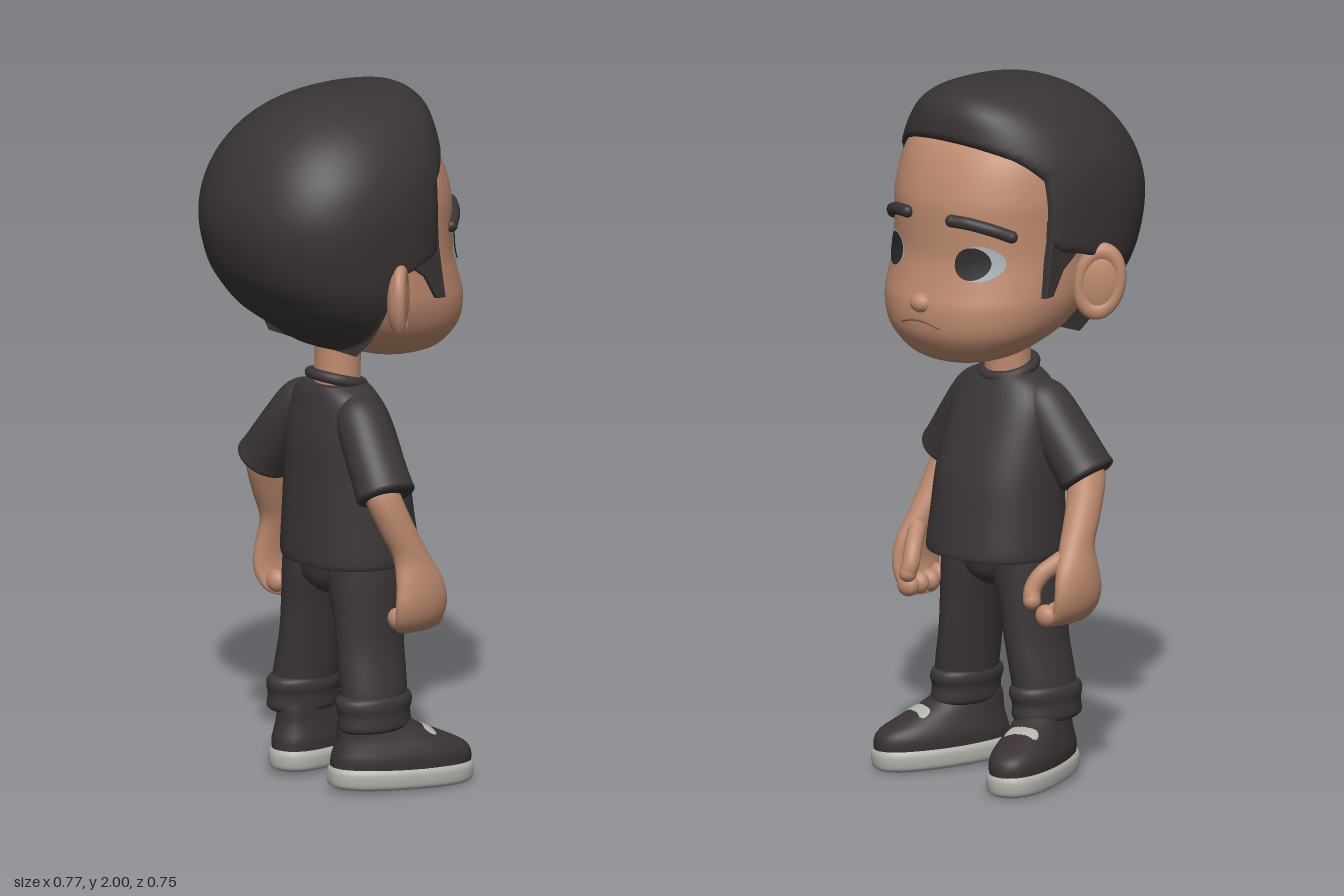
import * as THREE from 'three';

const mat = (name, color, side = THREE.FrontSide) => {
  const m = new THREE.MeshStandardMaterial({ color, side });
  m.name = name;
  return m;
};

// Smoothly subdivide rows of numbers (Catmull-Rom on every column)
function refine(rows, steps = 4) {
  const out = [];
  const at = i => rows[Math.max(0, Math.min(rows.length - 1, i))];
  for (let i = 0; i < rows.length - 1; i++) {
    for (let k = 0; k < steps; k++) {
      const t = k / steps;
      out.push(rows[i].map((p1, c) => {
        const p0 = at(i - 1)[c], p2 = at(i + 1)[c], p3 = at(i + 2)[c];
        return 0.5 * (2 * p1 + (p2 - p0) * t + (2 * p0 - 5 * p1 + 4 * p2 - p3) * t * t
          + (3 * p1 - p0 - 3 * p2 + p3) * t * t * t);
      }));
    }
  }
  out.push(rows[rows.length - 1]);
  return out;
}

// Closed body from horizontal superellipse sections [y, cx, cz, rx, rz], bottom to top
function loft(rows, { n = 2, seg = 40, steps = 4, clip } = {}) {
  const dense = refine(rows, steps), pos = [], idx = [];
  const ring = ([y, cx, cz, rx, rz]) => {
    for (let j = 0; j < seg; j++) {
      const a = j / seg * Math.PI * 2, c = Math.cos(a), s = Math.sin(a);
      const x = cx + rx * Math.sign(c) * Math.abs(c) ** (2 / n);
      const z = cz + rz * Math.sign(s) * Math.abs(s) ** (2 / n);
      pos.push(x, y, clip ? Math.min(z, clip(y)) : z);
    }
  };
  dense.forEach(ring);
  for (let i = 0; i < dense.length - 1; i++) {
    for (let j = 0; j < seg; j++) {
      const k = (j + 1) % seg, a = i * seg, b = a + seg;
      idx.push(a + j, b + j, a + k, a + k, b + j, b + k);
    }
  }
  // caps with their own ring, so the rim stays sharp
  [dense[0], dense[dense.length - 1]].forEach((r, top) => {
    const base = pos.length / 3;
    ring(r);
    pos.push(r[1], r[0], clip ? Math.min(r[2], clip(r[0])) : r[2]);
    for (let j = 0; j < seg; j++) {
      const k = (j + 1) % seg;
      idx.push(base + seg, base + (top ? k : j), base + (top ? j : k));
    }
  });
  const g = new THREE.BufferGeometry();
  g.setAttribute('position', new THREE.Float32BufferAttribute(pos, 3));
  g.setIndex(idx);
  g.computeVertexNormals();
  return g;
}

// Rows given as [y, back z, front z, half width]
const profile = rows => rows.map(([y, b, f, w]) => [y, 0, (b + f) / 2, w, (f - b) / 2]);

const lerpTable = (table, y) => {
  if (y <= table[0][0]) return table[0];
  for (let i = 1; i < table.length; i++) {
    const a = table[i - 1], b = table[i];
    if (y <= b[0]) return a.map((v, c) => v + (b[c] - v) * (y - a[0]) / (b[0] - a[0]));
  }
  return table[table.length - 1];
};

const HEAD_N = 2.2;
const headRows = profile([
  [1.217, 0.14, 0.23, 0.05], [1.226, 0.08, 0.28, 0.11], [1.25, 0.02, 0.318, 0.17],
  [1.30, -0.08, 0.354, 0.23], [1.345, -0.14, 0.366, 0.26], [1.40, -0.19, 0.365, 0.277],
  [1.45, -0.22, 0.35, 0.281], [1.53, -0.25, 0.33, 0.28], [1.62, -0.26, 0.328, 0.28],
  [1.70, -0.25, 0.322, 0.28], [1.80, -0.22, 0.287, 0.262], [1.86, -0.18, 0.24, 0.22],
  [1.92, -0.1, 0.14, 0.12]]);
const headDense = refine(headRows, 6);
const faceZ = (x, y) => {
  const [, , cz, rx, rz] = lerpTable(headDense, y);
  return cz + rz * Math.max(0, 1 - (Math.abs(x) / rx) ** HEAD_N) ** (1 / HEAD_N);
};

// Thin oval that follows the face surface
function facePatch(cx, cy, rx, ry, off) {
  const g = new THREE.RingGeometry(0.001, 1, 32, 5), p = g.attributes.position;
  for (let i = 0; i < p.count; i++) {
    const x = cx + p.getX(i) * rx, y = cy + p.getY(i) * ry;
    p.setXYZ(i, x, y, faceZ(x, y) + off);
  }
  g.computeVertexNormals();
  return g;
}

export function createModel() {
  const skin = mat('skin', 0xbd8a6f), lip = mat('lip line', 0x8f6450);
  const hair = mat('hair', 0x3a3434), cloth = mat('dark cloth', 0x3b3536);
  const shoe = mat('shoe upper', 0x3a3232), rubber = mat('sole', 0xb2b2ac);
  const white = mat('eye white', 0xa9b3b6, THREE.DoubleSide);
  const iris = mat('iris', 0x2c2a2b, THREE.DoubleSide);

  const body = new THREE.Group();
  const add = (name, geo, m, parent = body) => {
    const mesh = new THREE.Mesh(geo, m);
    mesh.name = name;
    parent.add(mesh);
    return mesh;
  };
  const ball = (name, m, p, s, parent) => {
    const b = add(name, new THREE.SphereGeometry(1, 28, 20), m, parent);
    b.position.set(...p);
    b.scale.set(...s);
    return b;
  };
  const tube = (name, pts, r, m) => {
    const v = pts.map(p => new THREE.Vector3(...p));
    add(name, new THREE.TubeGeometry(new THREE.CatmullRomCurve3(v), 20, r, 12), m);
    for (const e of [pts[0], pts[pts.length - 1]]) ball(name + 'End', m, e, [r, r, r]);
  };

  // Head, nose, mouth, neck
  add('head', loft(headRows, { n: HEAD_N, seg: 64, steps: 5 }), skin);
  ball('nose', skin, [0, 1.405, 0.358], [0.034, 0.028, 0.028]);
  tube('mouth', [-0.07, -0.035, 0, 0.035, 0.07].map(x => {
    const y = 1.356 - 3 * x * x;
    return [x, y, faceZ(x, y) - 0.001];
  }), 0.004, lip);
  add('neck', loft([[1.1, 0, 0, 0.07, 0.068], [1.2, 0, 0.003, 0.066, 0.064], [1.34, 0, 0.01, 0.068, 0.068]]), skin);

  // Hair cap, cut along the hairline
  const hairline = [[1.28, -0.088], [1.33, -0.08], [1.45, -0.062], [1.52, -0.05], [1.56, 0.128],
    [1.61, 0.125], [1.757, 0.13], [1.81, 0.185], [1.862, 0.272], [2, 0.3]];
  add('hair', loft(profile([
    [1.275, -0.1, 0.2, 0.19], [1.33, -0.18, 0.22, 0.245], [1.386, -0.257, 0.25, 0.28],
    [1.45, -0.312, 0.26, 0.308], [1.52, -0.355, 0.27, 0.322], [1.62, -0.383, 0.275, 0.329],
    [1.71, -0.379, 0.275, 0.327], [1.80, -0.345, 0.275, 0.307], [1.88, -0.288, 0.27, 0.262],
    [1.94, -0.215, 0.258, 0.203], [1.98, -0.13, 0.222, 0.13], [1.996, -0.05, 0.17, 0.06],
    [2.0, 0.02, 0.1, 0.02]]),
  { n: 2.3, seg: 72, steps: 6, clip: y => lerpTable(hairline, y)[1] }), hair);

  // Shirt body and collar
  add('shirt', loft([[0.64, 0, 0.048, 0.19, 0.168], [0.655, 0, 0.048, 0.2, 0.177], [0.76, 0, 0.042, 0.193, 0.167],
    [0.87, 0, 0.035, 0.186, 0.155], [1.0, 0, 0.015, 0.177, 0.13], [1.08, 0, 0.004, 0.163, 0.107],
    [1.13, 0, -0.004, 0.13, 0.09], [1.155, 0, -0.006, 0.09, 0.078]], { n: 2.3 }), cloth);
  const collar = add('collar', new THREE.TorusGeometry(0.074, 0.016, 12, 40), cloth);
  collar.position.set(0, 1.162, -0.002);
  collar.rotation.x = Math.PI / 2 + 0.28;

  // Hips
  add('hips', loft([[0.55, 0, 0.02, 0.06, 0.07], [0.59, 0, 0.02, 0.15, 0.105], [0.68, 0, 0.02, 0.18, 0.115]]), cloth);

  for (const s of [-1, 1]) {
    const side = s > 0 ? 'left' : 'right';
    const sideRows = rows => rows.map(([y, x, ...r]) => [y, s * x, ...r]);

    // Eye and brow
    add(side + 'EyeWhite', facePatch(s * 0.158, 1.53, 0.06, 0.05, 0.005), white);
    add(side + 'Iris', facePatch(s * 0.145, 1.53, 0.046, 0.046, 0.009), iris);
    tube(side + 'Brow', [[0.226, 1.608], [0.19, 1.628], [0.135, 1.644], [0.085, 1.648]]
      .map(([x, y]) => [s * x, y, faceZ(x, y) + 0.006]), 0.018, hair);

    // Sideburn
    const burn = new THREE.Shape([[0, 1.64], [0.125, 1.64], [0.128, 1.58], [0.152, 1.43], [0.126, 1.432], [0.085, 1.5], [0.03, 1.54]]
      .map(([z, y]) => new THREE.Vector2(-z, y)));
    const burnMesh = add(side + 'Sideburn', new THREE.ExtrudeGeometry(burn, {
      depth: 0.07, bevelThickness: 0.006, bevelSize: 0.004, bevelSegments: 2 }), hair);
    burnMesh.rotation.y = Math.PI / 2;
    burnMesh.position.x = s > 0 ? 0.215 : -0.285;

    // Ear with raised rim
    const ear = new THREE.Group();
    ear.name = side + 'Ear';
    ear.position.set(s * 0.318, 1.45, -0.033);
    ear.rotation.set(0, s * 0.8, -s * 0.16);
    ball('earBowl', skin, [0, 0, -0.008], [0.07, 0.1, 0.03], ear);
    const rim = add('earRim', new THREE.TorusGeometry(0.06, 0.019, 12, 36), skin, ear);
    rim.scale.set(0.95, 1.42, 1);
    body.add(ear);

    // Sleeve
    const sleeve = add(side + 'Sleeve', loft([[-0.255, 0, 0, 0.066, 0.076], [-0.245, 0, 0, 0.078, 0.088],
      [-0.215, 0, 0, 0.076, 0.086], [-0.12, 0, 0, 0.074, 0.083], [-0.02, 0, 0, 0.069, 0.077],
      [0.03, 0, 0, 0.052, 0.06], [0.06, 0, 0, 0.02, 0.025]]), cloth);
    sleeve.position.set(s * 0.12, 1.08, -0.015);
    sleeve.rotation.set(0.13, 0, s * 0.62);

    // Arm running into a mitten hand, with thumb and curled fingertips
    add(side + 'Arm', loft(sideRows([[0.472, 0.268, 0.06, 0.012, 0.045], [0.485, 0.282, 0.055, 0.028, 0.07],
      [0.52, 0.302, 0.05, 0.034, 0.084], [0.57, 0.312, 0.048, 0.036, 0.088], [0.63, 0.306, 0.045, 0.04, 0.077],
      [0.70, 0.29, 0.028, 0.042, 0.057], [0.78, 0.276, -0.01, 0.047, 0.055], [0.88, 0.255, -0.048, 0.05, 0.055],
      [0.97, 0.22, -0.05, 0.045, 0.05]])), skin);
    tube(side + 'Thumb', [[0.275, 0.66, 0.08], [0.245, 0.62, 0.128], [0.233, 0.58, 0.15], [0.238, 0.55, 0.158]]
      .map(([x, y, z]) => [s * x, y, z]), 0.025, skin);
    for (let i = 0; i < 4; i++)
      ball(side + 'Fingertip', skin, [s * 0.265, 0.506 + (i === 0 ? 0.01 : 0), 0.002 + i * 0.042], [0.034, 0.032, 0.026]);

    // Trouser leg and rolled cuff
    add(side + 'Leg', loft(sideRows([[0.2, 0.152, 0.01, 0.07, 0.098], [0.28, 0.147, 0.012, 0.077, 0.104],
      [0.4, 0.126, 0.018, 0.075, 0.106], [0.5, 0.113, 0.02, 0.083, 0.108], [0.58, 0.1, 0.02, 0.094, 0.112],
      [0.67, 0.092, 0.02, 0.095, 0.113]])), cloth);
    add(side + 'Cuff', loft(sideRows([[0.178, 0.155, 0.008, 0.07, 0.105], [0.19, 0.155, 0.008, 0.079, 0.116],
      [0.225, 0.153, 0.008, 0.079, 0.114], [0.25, 0.151, 0.009, 0.083, 0.121], [0.27, 0.15, 0.009, 0.08, 0.117],
      [0.28, 0.149, 0.01, 0.07, 0.1]])), cloth);

    // Shoe, turned outwards
    const foot = new THREE.Group();
    foot.name = side + 'Shoe';
    foot.position.set(s * 0.174, 0.008, 0.085);
    foot.rotation.set(0.03, s * 0.33, 0, 'YXZ');
    add('sole', loft([[0, 0, 0, 0.082, 0.198], [0.012, 0, 0, 0.094, 0.212], [0.045, 0, 0, 0.096, 0.214],
      [0.06, 0, 0, 0.088, 0.207]], { n: 2.4 }), rubber, foot);
    add('upper', loft([[0.05, 0, 0, 0.088, 0.207], [0.085, 0, 0, 0.09, 0.206], [0.112, 0, -0.006, 0.084, 0.193],
      [0.14, 0, -0.033, 0.074, 0.16], [0.168, 0, -0.066, 0.066, 0.126], [0.19, 0, -0.085, 0.06, 0.104]], { n: 2.3 }), shoe, foot);
    const laces = ball('laces', rubber, [0, 0.142, 0.078], [0.052, 0.017, 0.058], foot);
    laces.rotation.x = 0.5;
    body.add(foot);
  }

  // The figure faces +x
  body.name = 'figure';
  body.rotation.y = Math.PI / 2;
  const model = new THREE.Group();
  model.name = 'boy';
  model.add(body);
  return model;
}
